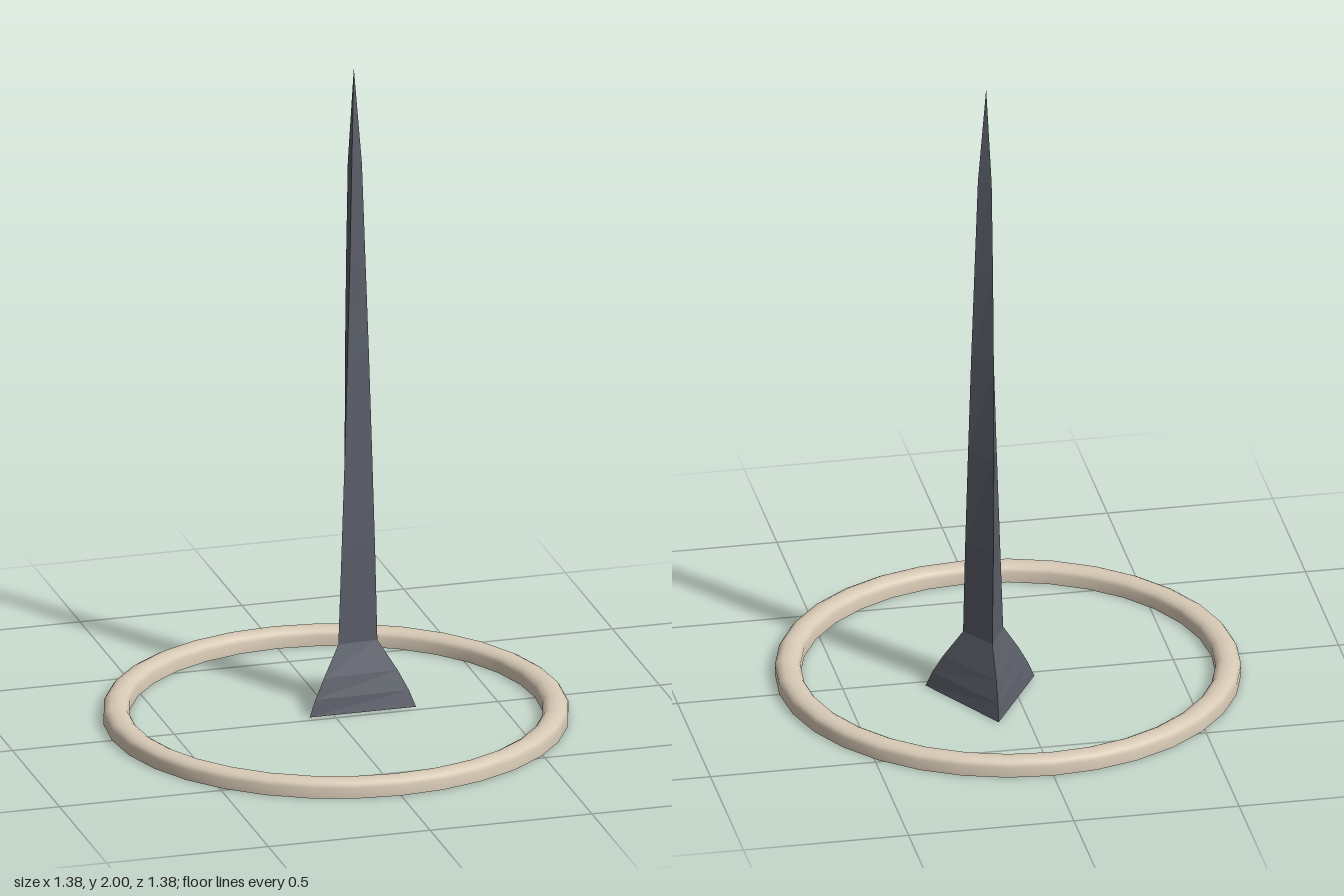
import * as THREE from 'three';

// [height, triangle circumradius] from the flared foot up to the point
const SPIKE_ROWS = [
  [0, 0.19], [0.05, 0.168], [0.11, 0.133], [0.2, 0.071], [0.5, 0.063], [0.8, 0.054],
  [1.1, 0.045], [1.4, 0.035], [1.7, 0.025], [2, 0.0004],
];
const TWIST_PER_UNIT = THREE.MathUtils.degToRad(17.5);

// Three-sided column, tapered and twisted row by row
function spikeGeometry() {
  const steps = SPIKE_ROWS.length - 1;
  const geometry = new THREE.CylinderGeometry(1, 1, 1, 3, steps, false, Math.PI);
  const position = geometry.attributes.position;
  const up = new THREE.Vector3(0, 1, 0);
  const v = new THREE.Vector3();
  for (let i = 0; i < position.count; i++) {
    v.fromBufferAttribute(position, i);
    const [height, radius] = SPIKE_ROWS[Math.round((v.y + 0.5) * steps)];
    v.set(v.x * radius, height, v.z * radius).applyAxisAngle(up, height * TWIST_PER_UNIT);
    position.setXYZ(i, v.x, v.y, v.z);
  }
  const flat = geometry.toNonIndexed();
  flat.computeVertexNormals();
  return flat;
}

// Arched band, open underneath
function ringGeometry() {
  const profile = [
    [0.692, 0], [0.692, 0.032], [0.684, 0.044], [0.671, 0.051], [0.654, 0.053],
    [0.637, 0.051], [0.624, 0.044], [0.616, 0.032], [0.616, 0],
  ].map(([r, y]) => new THREE.Vector2(r, y));
  return new THREE.LatheGeometry(profile, 32);
}

export function createModel() {
  const slate = new THREE.MeshStandardMaterial({ color: 0x5a5e68, flatShading: true });
  slate.name = 'slate grey';
  const sand = new THREE.MeshStandardMaterial({ color: 0xd8cab6, side: THREE.DoubleSide });
  sand.name = 'sand beige';

  const model = new THREE.Group();
  model.name = 'spikeInRing';

  const ring = new THREE.Mesh(ringGeometry(), sand);
  ring.name = 'groundRing';

  const spike = new THREE.Mesh(spikeGeometry(), slate);
  spike.name = 'twistedSpike';
  spike.position.set(0.09, 0, -0.12);

  model.add(ring, spike);
  return model;
}
